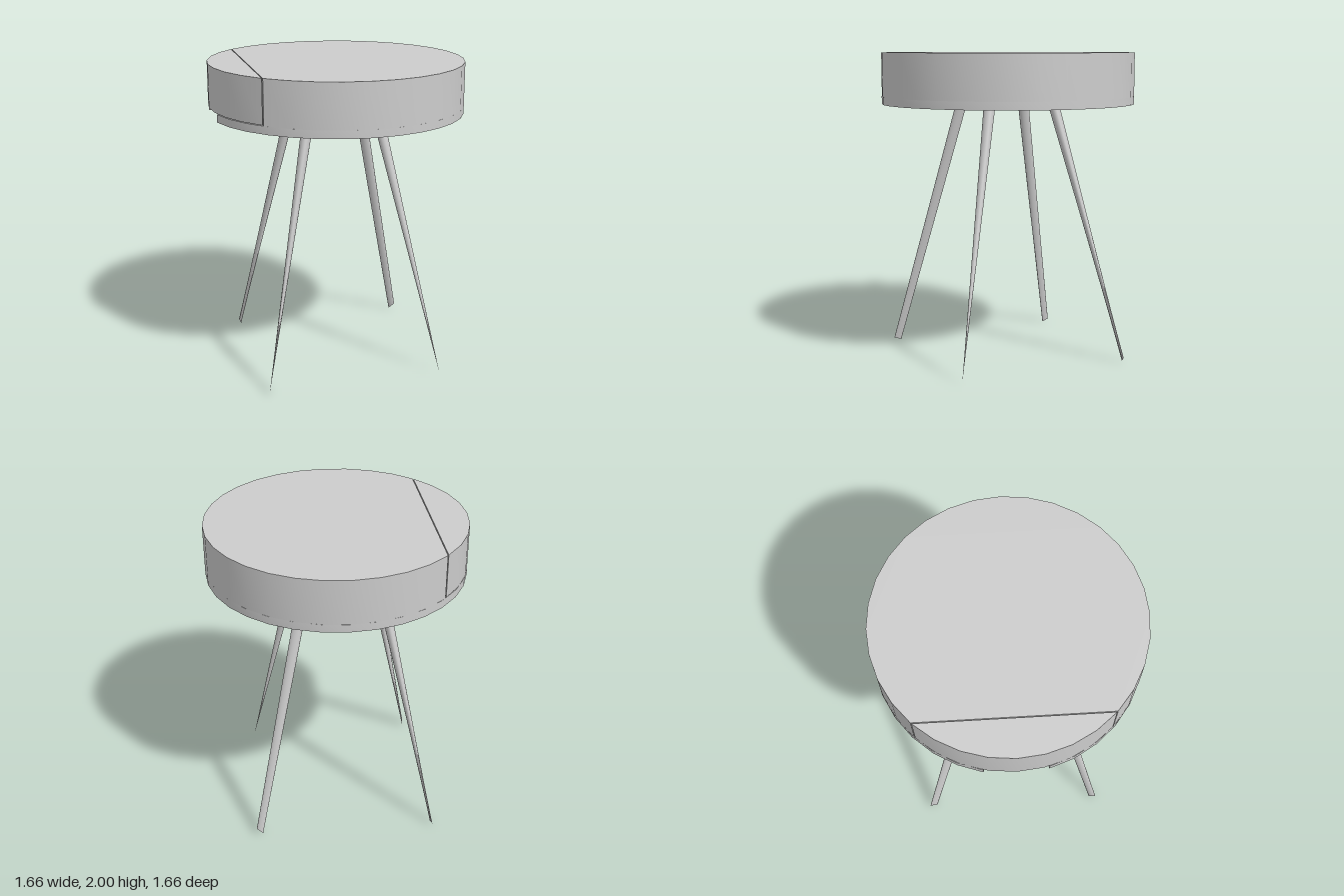
import * as THREE from 'three';
import { toCreasedNormals } from 'three/addons/utils/BufferGeometryUtils.js';

const CX = 0.008, CZ = -0.01, R = 0.82;

// Points [x, z] along the round outline, angles in degrees from +x towards +z
function arc(from, to, r = R) {
  const steps = Math.round((to - from) / 11.25);
  return Array.from({ length: steps + 1 }, (_, i) => {
    const t = THREE.MathUtils.degToRad(from + (to - from) * i / steps);
    return [CX + r * Math.cos(t), CZ + r * Math.sin(t)];
  });
}

// Upright slab with the given outline between two heights
function slab(name, points, y0, y1, material) {
  const shape = new THREE.Shape(points.map(([x, z]) => new THREE.Vector2(x, -z)));
  const geo = new THREE.ExtrudeGeometry(shape, { depth: y1 - y0, bevelEnabled: false });
  geo.rotateX(-Math.PI / 2);
  geo.translate(0, y0, 0);
  const mesh = new THREE.Mesh(toCreasedNormals(geo, 0.4), material);
  mesh.name = name;
  return mesh;
}

// Leg that runs from a round top to a foot flattened into the edge a-b
function leg(name, topX, topZ, a, b, material) {
  const sides = 20, r = 0.037, topY = 1.68;
  const phi = Math.atan2(b[2] - a[2], b[0] - a[0]);
  const pos = [], index = [];
  for (let i = 0; i < sides; i++) {
    const t = i / sides * Math.PI * 2;
    pos.push(topX + r * Math.cos(t), topY, topZ + r * Math.sin(t));
    const k = 0.5 + 0.5 * Math.cos(t - phi);
    for (let j = 0; j < 3; j++) pos.push(a[j] + (b[j] - a[j]) * k);
    const n = (i + 1) % sides;
    index.push(2 * i, 2 * n, 2 * i + 1, 2 * n, 2 * n + 1, 2 * i + 1);
  }
  const geo = new THREE.BufferGeometry();
  geo.setAttribute('position', new THREE.Float32BufferAttribute(pos, 3));
  geo.setIndex(index);
  geo.computeVertexNormals();
  const mesh = new THREE.Mesh(geo, material);
  mesh.name = name;
  return mesh;
}

export function createModel() {
  const grey = new THREE.MeshStandardMaterial({ color: 0xcccccc });
  grey.name = 'grey';
  const group = new THREE.Group();
  group.name = 'sideTable';

  // Bottom plate with a shallow finger notch under the drawer
  const plate = arc(148.5, 481.5);
  const d = Math.SQRT1_2, half = R * Math.sin(THREE.MathUtils.degToRad(13.5));
  const mid = R * Math.cos(THREE.MathUtils.degToRad(13.5));
  for (let i = 1; i < 10; i++) {
    const t = i / 10 * Math.PI;
    const along = half * Math.cos(t), out = mid - 0.1 * Math.sin(t);
    plate.push([CX + (along - out) * d, CZ + (along + out) * d]);
  }
  group.add(slab('bottomPlate', plate, 1.67, 1.72, grey));

  // Main body, and the corner drawer separated by a hairline gap
  group.add(slab('tableBody', arc(180, 450), 1.72, 2, grey));
  group.add(slab('cornerDrawer', arc(90.5, 179.5), 1.724, 2, grey));

  // Splayed legs
  group.add(leg('rightLeg', -0.325, 0, [-0.83, 0.015, -0.03], [-0.79, 0, 0], grey));
  group.add(leg('leftLeg', 0.318, 0, [0.80, 0.02, 0], [0.801, 0.02, 0], grey));
  group.add(leg('frontLeg', 0.003, 0.315, [0, 0, 0.79], [0.027, 0.015, 0.83], grey));
  group.add(leg('backLeg', 0.003, -0.318, [0.003, 0.005, -0.80], [0.04, 0.04, -0.82], grey));
  return group;
}
